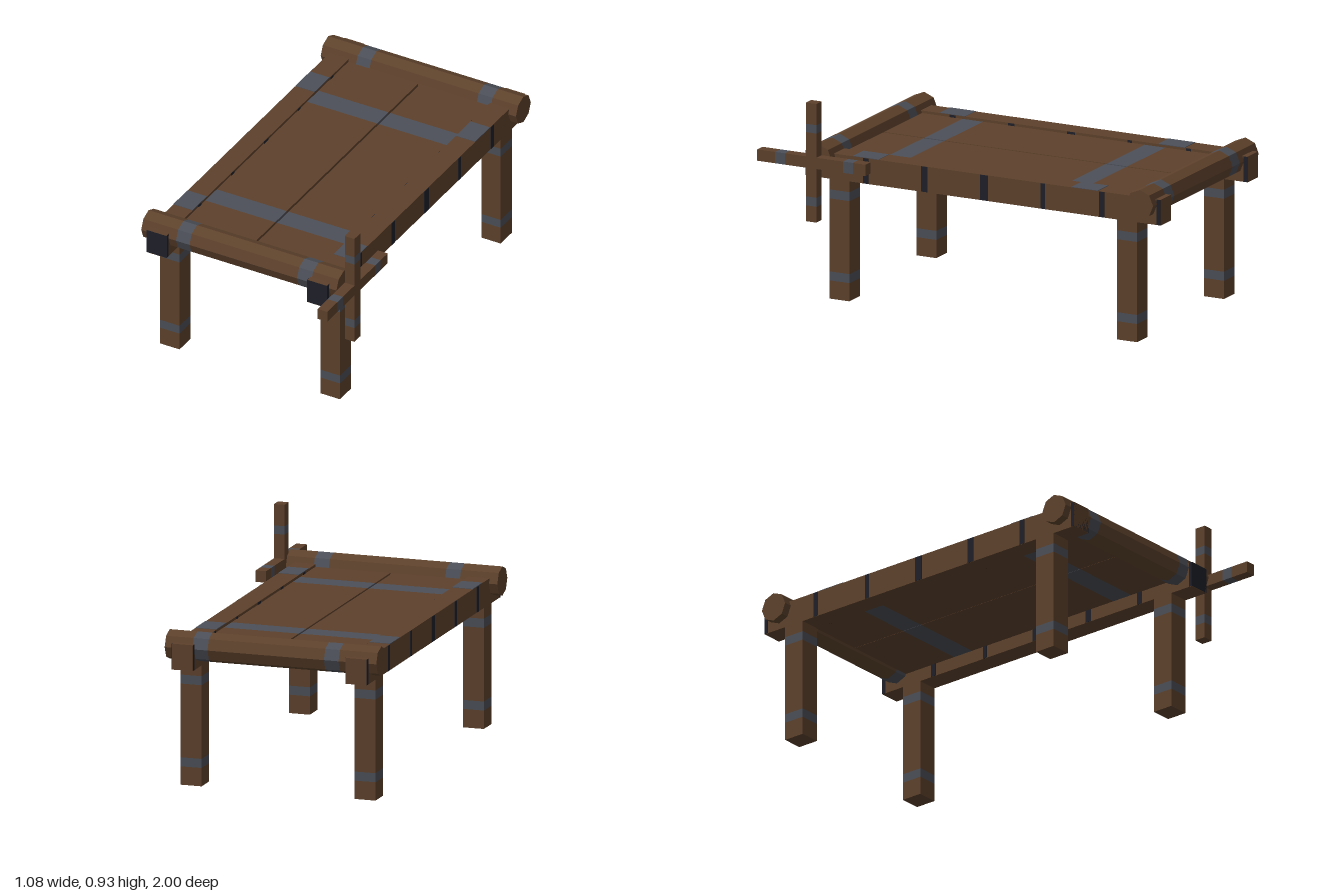
import * as THREE from 'three';

const paint = (name, color) => {
  const m = new THREE.MeshStandardMaterial({ color });
  m.name = name;
  return m;
};

export function createModel() {
  const wood = paint('brownWood', 0x5e422c);
  const grey = paint('greyBand', 0x4c4f58);
  const dark = paint('darkStrap', 0x1f2129);
  const model = new THREE.Group();
  model.name = 'rackTable';

  const group = (name) => {
    const g = new THREE.Group();
    g.name = name;
    model.add(g);
    return g;
  };

  // Box given by its low and high corners
  const box = (parent, name, lo, hi, material) => {
    const size = hi.map((v, i) => v - lo[i]);
    const mesh = new THREE.Mesh(new THREE.BoxGeometry(...size), material);
    mesh.position.set(...hi.map((v, i) => (v + lo[i]) / 2));
    mesh.name = name;
    parent.add(mesh);
  };

  // Cut a span into alternating plain and banded pieces
  const pieces = (start, end, bands, build) => {
    const cuts = [start, ...bands.flat(), end];
    for (let i = 0; i < cuts.length - 1; i++) {
      build(cuts[i], cuts[i + 1], i % 2 ? grey : wood, i % 2 ? 'Band' : 'Wood');
    }
  };
  const bandedBox = (parent, name, lo, hi, axis, bands) =>
    pieces(lo[axis], hi[axis], bands, (a, b, material, suffix) => {
      const l = [...lo], h = [...hi];
      l[axis] = a;
      h[axis] = b;
      box(parent, name + suffix, l, h, material);
    });

  // Side rails with legs, top bands and dark straps
  const straps = [[0.802, 0.016], [0.505, 0.028], [0.205, 0.032], [-0.1, 0.04],
    [-0.4, 0.022], [-0.7, 0.026], [-0.99, 0.018]];
  for (const [side, x0, x1] of [['right', -0.5, -0.4], ['left', 0.33, 0.43]]) {
    const rail = group(side + 'Rail');
    box(rail, 'railBeam', [x0, 0.56, -1], [x1, 0.68, 0.81], wood);
    for (const [z0, z1] of [[-0.68, -0.545], [0.44, 0.57]]) {
      box(rail, 'railTopBand', [x0, 0.679, z0], [x1, 0.682, z1], grey);
    }
    for (const [z, w] of straps) {
      box(rail, 'railStrap', [x0 - 0.002, 0.561, z - w / 2], [x1 + 0.002, 0.679, z + w / 2], dark);
    }
    for (const [end, z0, z1] of [['front', 0.588, 0.69], ['back', -0.88, -0.778]]) {
      bandedBox(group(`${end}${side}Leg`), 'leg', [x0, 0, z0], [x1, 0.56, z1], 1,
        [[0.085, 0.127], [0.468, 0.51]]);
    }
  }

  // Two bed boards with a narrow gap, closed by a thin strip beneath
  const bed = group('bed');
  for (const [x0, x1] of [[-0.4, -0.038], [-0.028, 0.33]]) {
    bandedBox(bed, 'board', [x0, 0.62, -0.87], [x1, 0.668, 0.68], 2,
      [[-0.58, -0.475], [0.35, 0.455]]);
  }
  bandedBox(bed, 'gapStrip', [-0.039, 0.621, -0.87], [-0.027, 0.63, 0.68], 2,
    [[-0.58, -0.475], [0.35, 0.455]]);

  // Octagonal rollers across both ends
  for (const [name, z] of [['frontRoller', 0.725], ['backRoller', -0.915]]) {
    const roller = group(name);
    roller.position.set(0, 0.657, z);
    pieces(-0.54, 0.47, [[-0.36, -0.29], [0.266, 0.338]], (a, b, material, suffix) => {
      const geo = new THREE.CylinderGeometry(0.068, 0.068, b - a, 8).toNonIndexed();
      geo.rotateZ(Math.PI / 2);
      geo.computeVertexNormals(); // flat facets
      const mesh = new THREE.Mesh(geo, material);
      mesh.position.x = (a + b) / 2;
      mesh.name = 'roller' + suffix;
      roller.add(mesh);
    });
  }

  // Crossed turning handle beside the front roller
  const handle = group('crossHandle');
  bandedBox(handle, 'uprightBar', [0.49, 0.38, 0.698], [0.54, 0.934, 0.752], 1,
    [[0.454, 0.496], [0.796, 0.835]]);
  bandedBox(handle, 'levelBar', [0.49, 0.63, 0.448], [0.54, 0.683, 1], 2,
    [[0.512, 0.562], [0.858, 0.908]]);

  return model;
}
